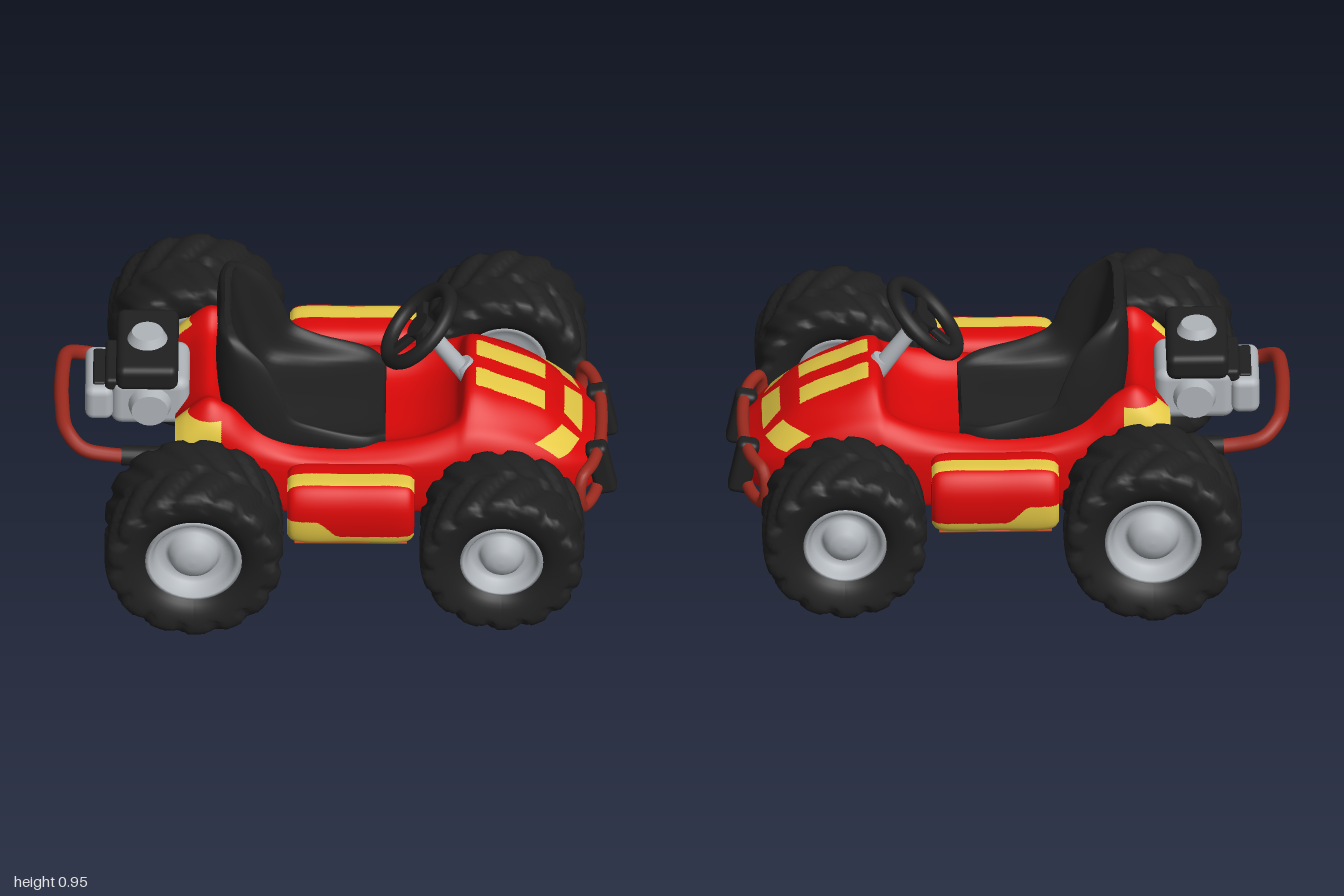
import * as THREE from 'three';
import { RoundedBoxGeometry } from 'three/addons/geometries/RoundedBoxGeometry.js';

const V = (x, y, z) => new THREE.Vector3(x, y, z);
const material = (name, color) => {
  const m = new THREE.MeshStandardMaterial({ color });
  m.name = name;
  return m;
};

// Skin a grid of closed cross-sections smoothly and cap both ends
function loft(sections, nu, nv) {
  const columns = sections[0].map((_, j) => new THREE.CatmullRomCurve3(sections.map(s => s[j]), false, 'centripetal'));
  const pos = [], index = [];
  for (let i = 0; i <= nu; i++) {
    const ring = new THREE.CatmullRomCurve3(columns.map(c => c.getPoint(i / nu)), true, 'centripetal');
    for (let j = 0; j < nv; j++) pos.push(...ring.getPoint(j / nv).toArray());
  }
  for (let i = 0; i < nu; i++) for (let j = 0; j < nv; j++) {
    const k = (j + 1) % nv, a = i * nv + j, b = i * nv + k, c = a + nv, d = b + nv;
    index.push(a, c, b, b, c, d);
  }
  for (const i of [0, nu]) {
    const start = pos.length / 3, mid = V(0, 0, 0);
    for (let j = 0; j < nv; j++) {
      const p = V().fromArray(pos, (i * nv + j) * 3);
      mid.addScaledVector(p, 1 / nv);
      pos.push(p.x, p.y, p.z);
    }
    pos.push(mid.x, mid.y, mid.z);
    for (let j = 0; j < nv; j++) {
      const a = start + j, b = start + (j + 1) % nv;
      index.push(...(i === 0 ? [a, b, start + nv] : [b, a, start + nv]));
    }
  }
  // Turn the faces outward when the sections run the other way round
  let volume = 0;
  const at = n => V().fromArray(pos, n * 3);
  for (let t = 0; t < index.length; t += 3) volume += at(index[t]).dot(at(index[t + 1]).cross(at(index[t + 2])));
  if (volume < 0) index.reverse();
  const g = new THREE.BufferGeometry();
  g.setAttribute('position', new THREE.Float32BufferAttribute(pos, 3));
  g.setIndex(index);
  g.computeVertexNormals();
  return g;
}

// Give faces one of two materials by a rule, dividing those on the border finely
function split(g, rule) {
  const pos = Array.from(g.attributes.position.array), nor = Array.from(g.attributes.normal.array), lists = [[], []];
  const inside = n => rule(pos[n * 3], pos[n * 3 + 1], Math.abs(pos[n * 3 + 2])) ? 1 : 0;
  const middle = (a, b) => {
    for (const list of [pos, nor]) for (let k = 0; k < 3; k++) list.push((list[a * 3 + k] + list[b * 3 + k]) / 2);
    return pos.length / 3 - 1;
  };
  const place = (a, b, c, depth) => {
    const sum = inside(a) + inside(b) + inside(c);
    if (depth === 0 || sum % 3 === 0) return lists[sum > 1 ? 1 : 0].push(a, b, c);
    const d = middle(a, b), e = middle(b, c), f = middle(c, a);
    for (const t of [[a, d, f], [d, b, e], [f, e, c], [d, e, f]]) place(...t, depth - 1);
  };
  const ix = g.index.array;
  for (let t = 0; t < ix.length; t += 3) place(ix[t], ix[t + 1], ix[t + 2], 3);
  g.setAttribute('position', new THREE.Float32BufferAttribute(pos, 3));
  g.setAttribute('normal', new THREE.Float32BufferAttribute(nor, 3));
  g.setIndex([...lists[0], ...lists[1]]);
  g.addGroup(0, lists[0].length, 0);
  g.addGroup(lists[0].length, lists[1].length, 1);
  return g;
}

// Complete a half section (z >= 0, bottom centre to top centre) into a loop
const mirrorLoop = half => [...half, ...half.slice(1, -1).reverse().map(p => V(p.x, p.y, -p.z))];

export function createModel() {
  const kart = new THREE.Group();
  kart.name = 'goKart';
  const red = material('bodyRed', 0xdc0808), yellow = material('trimYellow', 0xe6ca46);
  const black = material('rubberBlack', 0x202020), grey = material('metalGrey', 0xb0b5ba);
  const rust = material('bumperRed', 0x9c2a1e), orange = material('undersideOrange', 0xbe4212);
  const add = (name, geometry, mat, x = 0, y = 0, z = 0, parent = kart) => {
    const m = new THREE.Mesh(geometry, mat);
    m.name = name;
    m.position.set(x, y, z);
    parent.add(m);
    return m;
  };
  const rod = (name, a, b, r, mat, r2 = r) => {
    const m = add(name, new THREE.CylinderGeometry(r2, r, a.distanceTo(b), 20), mat);
    m.position.copy(a).lerp(b, 0.5);
    m.quaternion.setFromUnitVectors(V(0, 1, 0), b.clone().sub(a).normalize());
    return m;
  };
  const box = (name, w, h, d, r, mat, x, y, z) => add(name, new RoundedBoxGeometry(w, h, d, 3, r), mat, x, y, z);

  // Body shell: x, half width, floor, shoulder, rim and centre heights
  const bodySections = [
    [-0.57, 0.34, 0.24, 0.49, 0.58, 0.5], [-0.53, 0.35, 0.225, 0.52, 0.62, 0.56],
    [-0.45, 0.35, 0.22, 0.56, 0.68, 0.62], [-0.38, 0.35, 0.22, 0.54, 0.65, 0.55],
    [-0.28, 0.35, 0.22, 0.48, 0.56, 0.43], [-0.13, 0.35, 0.22, 0.45, 0.49, 0.42],
    [0.1, 0.35, 0.22, 0.44, 0.48, 0.42], [0.3, 0.345, 0.22, 0.45, 0.51, 0.44],
    [0.42, 0.335, 0.22, 0.45, 0.55, 0.52], [0.47, 0.33, 0.22, 0.45, 0.575, 0.65],
    [0.6, 0.315, 0.22, 0.44, 0.55, 0.61], [0.74, 0.285, 0.22, 0.405, 0.485, 0.545],
    [0.82, 0.255, 0.22, 0.38, 0.435, 0.473], [0.88, 0.215, 0.23, 0.355, 0.39, 0.41], [0.925, 0.16, 0.245, 0.34, 0.36, 0.37],
  ].map(([x, w, b, s, r, c]) => mirrorLoop([
    V(x, b, 0), V(x, b, w * 0.9), V(x, b + 0.025, w * 0.98), V(x, s, w), V(x, s * 0.35 + r * 0.65, w * 0.91),
    V(x, r, w * 0.76), V(x, r + (c - r) * 0.8, w * 0.5), V(x, c, 0)]));
  add('body', split(loft(bodySections, 120, 100), (x, y, z) =>
    (x > 0.495 && x < 0.74 && z > 0.035 && z < 0.13 && y > 0.5)
    || (x > 0.77 && x < 0.9 && z < 0.105 - (y - 0.42) * 0.4 && y > 0.418 && y < 0.485)
    || (x > 0.66 && x < 0.88 && z > 0.142 && z < 0.258 && y > 0.416 && y < 0.482)
    || (x < -0.405 && z > 0.235 && y > 0.44 && y < 0.625)), [red, yellow]);

  // Side pods
  for (const side of [1, -1]) {
    const pod = [[-0.17, 0.8], [-0.155, 0.93], [-0.12, 1], [0.05, 1], [0.23, 1], [0.265, 0.93], [0.28, 0.8]].map(([x, s]) =>
      [[-0.1, -0.08], [-0.08, -0.12], [0.07, -0.12], [0.1, -0.09], [0.11, 0.05], [0.07, 0.115], [0, 0.122], [-0.08, 0.11], [-0.11, 0.07]]
        .map(([z, y]) => V(x, 0.37 + y * s, side * (0.46 + z * s))));
    add(side > 0 ? 'leftPod' : 'rightPod', split(loft(pod, 40, 60), (x, y, z) =>
      (y > 0.42 && z > 0.45 && z < 0.518)
      || (z > 0.5 && y > 0.253 && y < 0.3 + 0.07 * THREE.MathUtils.smoothstep(-x, -0.02, 0.07))), [red, yellow]);
    box('podUnderside', 0.4, 0.008, 0.16, 0.003, orange, 0.055, 0.247, side * 0.455);
  }

  // Bucket seat: inner face, side rim and outer shell, from front edge to top
  const seatSections = [
    [0.165, 0.485, 0.175, 0.49, 0.175, 0.45, 0.23], [0.1, 0.48, 0.11, 0.51, 0.12, 0.42, 0.275],
    [-0.1, 0.48, -0.07, 0.56, -0.12, 0.41, 0.285], [-0.24, 0.5, -0.155, 0.605, -0.34, 0.42, 0.29],
    [-0.29, 0.6, -0.19, 0.69, -0.395, 0.6, 0.285], [-0.33, 0.75, -0.25, 0.82, -0.415, 0.75, 0.27],
    [-0.36, 0.87, -0.315, 0.89, -0.415, 0.88, 0.25], [-0.37, 0.92, -0.35, 0.92, -0.41, 0.92, 0.225],
    [-0.375, 0.938, -0.37, 0.935, -0.395, 0.938, 0.17],
  ].map(([ix, iy, rx, ry, ox, oy, w]) => mirrorLoop([
    V(ox, oy, 0), V(ox, oy, w * 0.75), V((ox + rx) / 2, (oy + ry) / 2, w), V(rx, ry, w * 0.95),
    V(rx * 0.8 + ix * 0.2, ry * 0.8 + iy * 0.2, w * 0.86), V(ix, iy, w * 0.72), V(ix, iy, 0)]));
  add('seat', loft(seatSections, 50, 70), black);

  // Steering column and wheel
  rod('steeringColumn', V(0.47, 0.58, 0), V(0.33, 0.78, 0), 0.033, grey, 0.028);
  rod('columnCollar', V(0.475, 0.6, 0), V(0.445, 0.645, 0), 0.045, grey, 0.035);
  const steering = new THREE.Group();
  steering.name = 'steeringWheel';
  steering.position.set(0.293, 0.808, 0);
  const k = Math.SQRT1_2;
  steering.quaternion.setFromRotationMatrix(new THREE.Matrix4().makeBasis(V(0, 0, 1), V(k, k, 0), V(-k, k, 0)));
  add('wheelRing', new THREE.TorusGeometry(0.156, 0.027, 14, 48), black, 0, 0, 0, steering);
  const hub = add('wheelHub', new THREE.CylinderGeometry(0.05, 0.04, 0.09, 24), black, 0, 0, -0.035, steering);
  hub.rotation.x = Math.PI / 2;
  for (const a of [0, Math.PI, -Math.PI / 2]) {
    const spoke = add('wheelSpoke', new RoundedBoxGeometry(0.14, 0.045, 0.026, 2, 0.01), black, 0.09 * Math.cos(a), 0.09 * Math.sin(a), -0.015, steering);
    spoke.rotation.z = a;
  }
  kart.add(steering);

  // Tyre with chevron grooves cut into the tread
  function tyreGeometry(R, h, rim) {
    const half = [[rim, 0.72], [rim + 0.03, 0.88], [R * 0.76, 0.98], [R * 0.9, 1], [R * 0.965, 0.94], [R * 0.99, 0.8], [R, 0.4]];
    const curve = new THREE.CatmullRomCurve3([...half.map(([r, f]) => V(r, -f * h, 0)), V(R, 0, 0),
      ...half.slice().reverse().map(([r, f]) => V(r, f * h, 0))], false, 'centripetal');
    const g = new THREE.LatheGeometry(curve.getSpacedPoints(40).map(p => new THREE.Vector2(p.x, p.y)), 98);
    const p = g.attributes.position;
    for (let i = 0; i < p.count; i++) {
      const x = p.getX(i), y = p.getY(i), z = p.getZ(i), r = Math.hypot(x, z);
      if (r < R * 0.83) continue;
      const phase = Math.atan2(z, x) / (2 * Math.PI) * 14 + Math.abs(y) / h * 0.9 + (y > 0 ? 0.5 : 0);
      const wave = Math.sin(phase * 2 * Math.PI);
      const s = 1 - 0.05 * THREE.MathUtils.smoothstep(wave, 0.1, 0.8);
      p.setXYZ(i, x * s, y * (r < R * 0.97 ? s : 1), z * s);
    }
    g.computeVertexNormals();
    return g.rotateX(Math.PI / 2);
  }
  // Dished rim with a domed hub
  const rimGeometry = (r, h) => new THREE.LatheGeometry([[0, -0.55], [0.6, -0.55], [0.9, -0.72], [1.04, -0.76], [1.04, 0.78],
    [0.96, 0.8], [0.88, 0.7], [0.8, 0.5], [0.62, 0.46], [0.54, 0.5], [0.5, 0.66], [0.36, 0.78], [0.18, 0.83], [0, 0.84]]
    .map(([a, b]) => new THREE.Vector2(a * r, b * h)), 40).rotateX(Math.PI / 2);
  for (const [name, x, y, z, R, h, rim] of [['rear', -0.5, 0.316, 0.593, 0.317, 0.182, 0.165], ['front', 0.592, 0.298, 0.577, 0.292, 0.167, 0.142]]) {
    for (const side of [1, -1]) {
      const wheel = new THREE.Group();
      wheel.name = name + (side > 0 ? 'LeftWheel' : 'RightWheel');
      wheel.position.set(x, y, side * z);
      wheel.rotation.y = side > 0 ? 0 : Math.PI;
      add('tyre', tyreGeometry(R, h, rim), black, 0, 0, 0, wheel);
      add('rim', rimGeometry(rim, h), grey, 0, 0, 0, wheel);
      kart.add(wheel);
    }
    rod(name + 'Axle', V(x, y - 0.01, -z), V(x, y - 0.01, z), 0.054, grey);
  }

  // Engine: crankcase, cover with starter cap, and a muffler with a dark grille
  box('engineBlock', 0.28, 0.2, 0.26, 0.04, grey, -0.66, 0.55, 0);
  box('engineCover', 0.22, 0.1, 0.37, 0.03, black, -0.67, 0.695, 0);
  add('starterCap', new THREE.CylinderGeometry(0.055, 0.075, 0.04, 32), grey, -0.67, 0.757, 0);
  box('muffler', 0.1, 0.14, 0.27, 0.03, grey, -0.84, 0.545, 0);
  box('mufflerGrille', 0.045, 0.02, 0.2, 0.008, black, -0.84, 0.613, 0);
  box('airFilter', 0.07, 0.05, 0.24, 0.015, black, -0.785, 0.625, 0);
  for (const s of [1, -1]) rod('crankCover', V(-0.66, 0.55, s * 0.12), V(-0.66, 0.55, s * 0.17), 0.08, grey, 0.065);

  // Rear bumper tube and its sleeves
  const rearHalf = [V(-0.55, 0.43, 0.28), V(-0.8, 0.44, 0.28), V(-0.9, 0.465, 0.275), V(-0.955, 0.505, 0.22), V(-0.972, 0.52, 0.1)];
  const rearPath = [...rearHalf, ...rearHalf.slice().reverse().map(p => V(p.x, p.y, -p.z))];
  add('rearBumper', new THREE.TubeGeometry(new THREE.CatmullRomCurve3(rearPath, false, 'centripetal'), 80, 0.026, 12), rust);
  for (const s of [1, -1]) rod('bumperSleeve', V(-0.55, 0.43, s * 0.28), V(-0.76, 0.438, s * 0.28), 0.036, black);

  // Front bumper loop, pads and mounts
  const frontHalf = [V(0.935, 0.39, 0.12), V(0.91, 0.39, 0.25), V(0.875, 0.38, 0.32), V(0.865, 0.315, 0.34), V(0.875, 0.25, 0.32), V(0.91, 0.24, 0.25), V(0.935, 0.24, 0.12)];
  const frontPath = [...frontHalf, ...frontHalf.slice().reverse().map(p => V(p.x, p.y, -p.z))];
  add('frontBumper', new THREE.TubeGeometry(new THREE.CatmullRomCurve3(frontPath, true, 'centripetal'), 100, 0.022, 12, true), rust);
  for (const s of [1, -1]) {
    const pad = box('bumperPad', 0.08, 0.21, 0.07, 0.022, black, 0.94, 0.31, s * 0.165);
    pad.rotation.z = 0.2;
    rod('bumperMount', V(0.8, 0.31, s * 0.165), V(0.93, 0.31, s * 0.165), 0.025, rust);
  }
  return kart;
}
